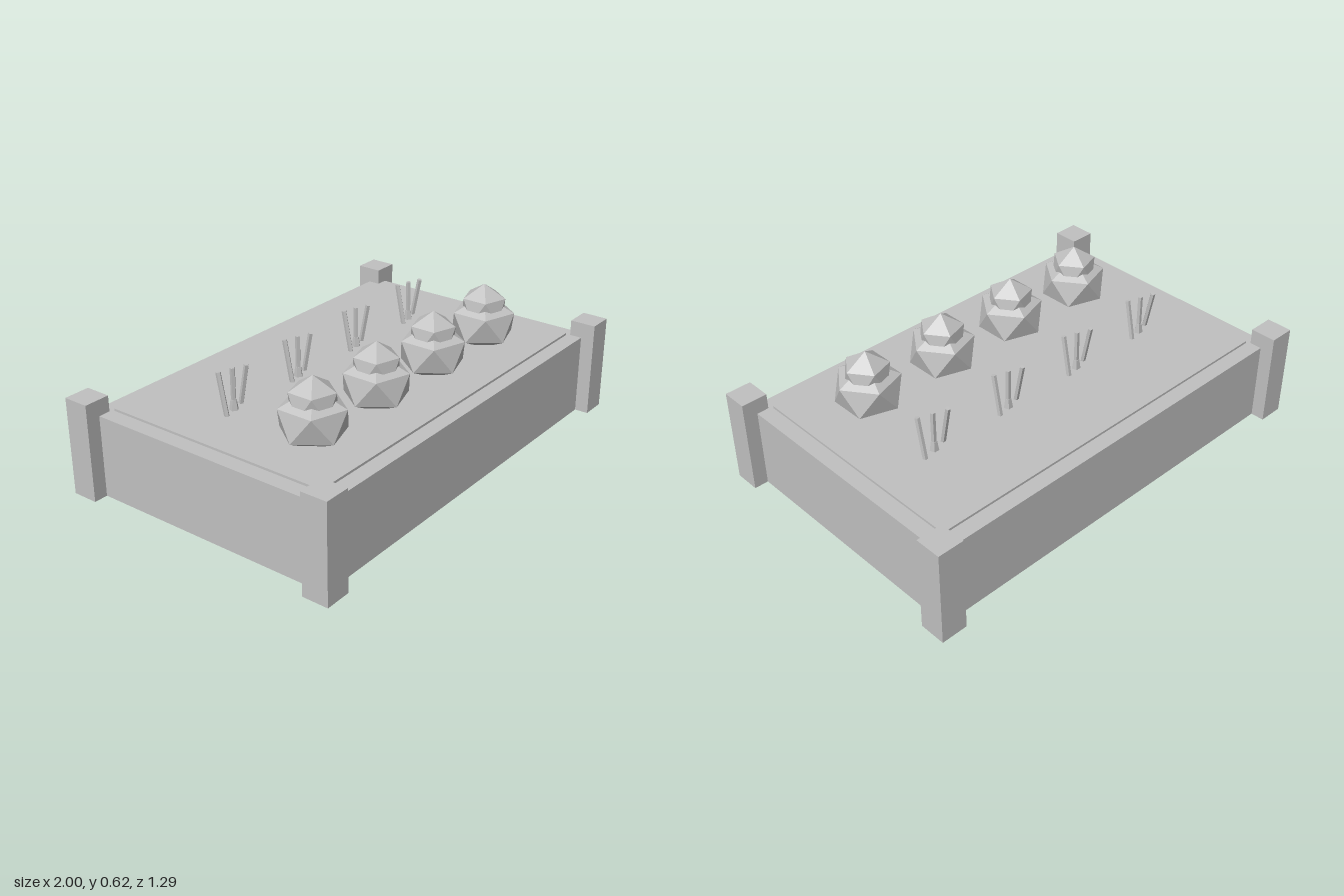
import * as THREE from 'three';

// Faceted ball standing on a vertex: two poles and two staggered five-sided rings
function facetedBall(radius, height) {
  const point = (ring, i) => {
    const a = ((i + (ring ? 0.5 : 0)) * Math.PI * 2) / 5;
    const r = radius * 0.894;
    return [Math.cos(a) * r, (ring ? -0.447 : 0.447) * height, Math.sin(a) * r];
  };
  const top = [0, height, 0];
  const bottom = [0, -height, 0];
  const positions = [];
  for (let i = 0; i < 5; i++) {
    const a = point(0, i), b = point(0, i + 1);
    const c = point(1, i), d = point(1, i + 1);
    positions.push(...top, ...b, ...a);
    positions.push(...a, ...b, ...c);
    positions.push(...b, ...d, ...c);
    positions.push(...bottom, ...c, ...d);
  }
  const geometry = new THREE.BufferGeometry();
  geometry.setAttribute('position', new THREE.Float32BufferAttribute(positions, 3));
  geometry.computeVertexNormals();
  return geometry;
}

export function createModel() {
  const model = new THREE.Group();
  model.name = 'gardenBed';
  const grey = new THREE.MeshStandardMaterial({ color: 0xc0c0c0, flatShading: true });
  grey.name = 'plain grey';

  function add(parent, name, geometry, x, y, z) {
    const mesh = new THREE.Mesh(geometry, grey);
    mesh.name = name;
    mesh.position.set(x, y, z);
    parent.add(mesh);
    return mesh;
  }

  // Bed, raised soil and corner posts
  add(model, 'bedFrame', new THREE.BoxGeometry(1.876, 0.355, 1.17), 0, 0.1775, 0);
  add(model, 'soil', new THREE.BoxGeometry(1.74, 0.03, 1.034), 0, 0.35, 0);
  const post = new THREE.BoxGeometry(0.115, 0.424, 0.115);
  for (const sx of [-1, 1]) {
    for (const sz of [-1, 1]) {
      add(model, 'cornerPost', post, sx * 0.9425, 0.212, sz * 0.588);
    }
  }

  // Row of round plants in front, row of sprouts behind
  const body = facetedBall(0.153, 0.124);
  const crown = facetedBall(0.106, 0.106);
  const stem = new THREE.CylinderGeometry(0.011, 0.011, 0.19, 5);
  const stemBase = new THREE.CylinderGeometry(0.013, 0.02, 0.045, 5);
  for (let i = 0; i < 4; i++) {
    const x = -0.591 + i * 0.392;

    const plant = new THREE.Group();
    plant.name = 'roundPlant';
    plant.position.set(x, 0, 0.256);
    add(plant, 'plantBody', body, 0, 0.45, 0);
    add(plant, 'plantCrown', crown, 0, 0.519, 0);
    model.add(plant);

    const sprout = new THREE.Group();
    sprout.name = 'sprout';
    sprout.position.set(x, 0, -0.142);
    for (const k of [-1, 0, 1]) {
      add(sprout, 'stem', stem, k * 0.06, 0.448, 0).rotation.x = k * 0.2;
    }
    add(sprout, 'stemBase', stemBase, 0, 0.385, 0);
    model.add(sprout);
  }
  return model;
}
